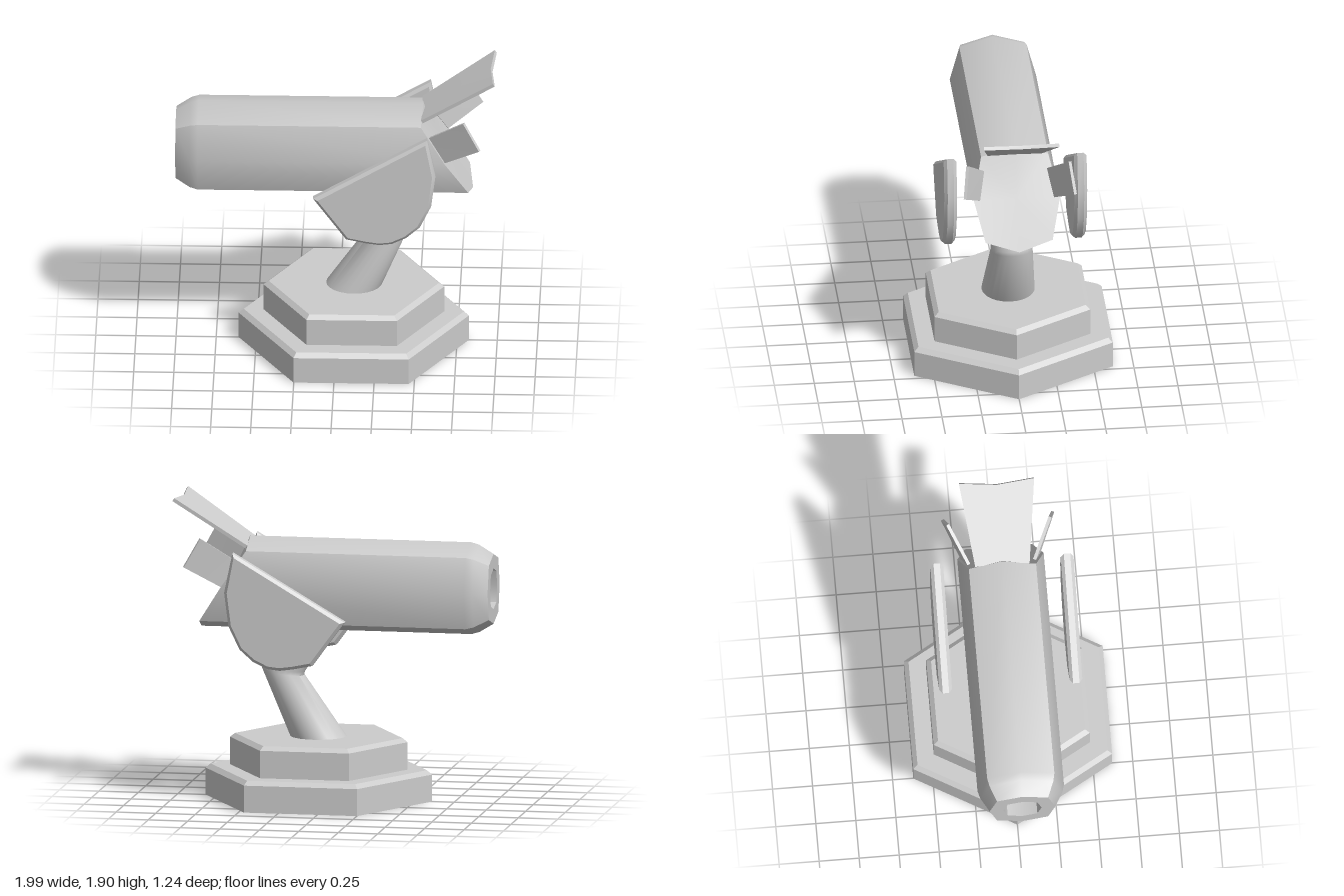
import * as THREE from 'three';
import { toCreasedNormals } from 'three/addons/utils/BufferGeometryUtils.js';

const V = (x, y, z) => new THREE.Vector3(x, y, z);
const material = new THREE.MeshStandardMaterial({ color: 0xcccccc, side: THREE.DoubleSide });

// Skins a list of closed rings; a ring collapsed to one point makes a cap.
function loft(rings, crease = 0.7) {
  const n = rings[0].length, index = [];
  for (let i = 0; i < rings.length - 1; i++) {
    for (let j = 0; j < n; j++) {
      const a = i * n + j, b = i * n + (j + 1) % n;
      index.push(a, a + n, b, b, a + n, b + n);
    }
  }
  const geometry = new THREE.BufferGeometry().setFromPoints(rings.flat());
  geometry.setIndex(index);
  return toCreasedNormals(geometry, crease);
}

const collapse = (ring) => {
  const c = ring.reduce((s, p) => s.add(p), V(0, 0, 0)).divideScalar(ring.length);
  return ring.map(() => c.clone());
};

// Thin plate: an outline in space given a thickness along its normal.
function plate(outline, thickness) {
  const normal = outline[1].clone().sub(outline[0])
    .cross(outline[2].clone().sub(outline[0])).normalize();
  const shift = (d) => outline.map((p) => p.clone().addScaledVector(normal, d));
  const top = shift(thickness / 2), bottom = shift(-thickness / 2);
  return loft([collapse(top), top, bottom, collapse(bottom)], 0.4);
}

export function createModel() {
  const group = new THREE.Group();
  const add = (name, geometry) => {
    const mesh = new THREE.Mesh(geometry, material);
    mesh.name = name;
    group.add(mesh);
    return mesh;
  };

  // Two-step hexagonal base, hollow underneath
  const profile = [[0.717, 0], [0.717, 0.17], [0.685, 0.197], [0.563, 0.197],
    [0.563, 0.37], [0.53, 0.395], [0, 0.395]].map(([r, y]) => new THREE.Vector2(r, y));
  const base = add('base', toCreasedNormals(new THREE.LatheGeometry(profile, 6, Math.PI / 2), 0.4));
  base.position.x = 0.107;

  // Bent neck: each ring is [left x, left y, right x, right y, half depth]
  const neck = [[-0.08, 0.37, 0.27, 0.37, 0.168], [-0.065, 0.395, 0.285, 0.395, 0.166],
    [0.2, 0.775, 0.465, 0.82, 0.132], [0.195, 0.8, 0.465, 0.845, 0.13],
    [0.13, 0.89, 0.45, 0.9, 0.127], [0.03, 1.08, 0.29, 1.16, 0.12]].map(([lx, ly, rx, ry, d]) =>
    Array.from({ length: 24 }, (_, j) => {
      const a = j / 24 * Math.PI * 2, t = (1 + Math.cos(a)) / 2;
      return V(lx + (rx - lx) * t, ly + (ry - ly) * t, d * Math.sin(a));
    }));
  add('neck', loft([collapse(neck[0]), ...neck]));

  // Eight-sided barrel with a slanted rear end and a hollow muzzle
  const section = [[0.29, 0], [0.225, 0.21], [0, 0.27], [-0.225, 0.21],
    [-0.29, 0], [-0.225, -0.21], [0, -0.27], [0.225, -0.21]];
  const ring = (x, s) => section.map(([y, z], j) => V(Array.isArray(x) ? x[j] : x, 1.355 + y * s, z * s));
  const rear = ring([0.54, 0.53, 0.68, 0.825, 0.85, 0.825, 0.68, 0.53], 1);
  const boreEnd = ring(-0.4, 0.44);
  add('barrel', loft([collapse(rear), rear, ring(-0.86, 1), ring(-0.91, 0.95), ring(-1, 0.76),
    ring(-1, 0.44), boreEnd, collapse(boreEnd)]));

  // Rear flap on top, with a notched tip
  add('topFlap', plate([V(0.535, 1.6, 0.17), V(0.985, 1.895, 0.235), V(0.965, 1.88, 0),
    V(0.985, 1.895, -0.235), V(0.535, 1.6, -0.17), V(0.545, 1.607, 0)], 0.022));

  // Shield outline shared by both sides
  const shield = new THREE.Shape([[-0.135, 1.185], [0.07, 0.905], [0.19, 0.88], [0.275, 0.868], [0.355, 0.877],
    [0.445, 0.92], [0.53, 0.995], [0.6, 1.14], [0.627, 1.35], [0.575, 1.6]]
    .map(([x, y]) => new THREE.Vector2(x, y)));
  const shieldGeometry = toCreasedNormals(new THREE.ExtrudeGeometry(shield, {
    depth: 0.04, bevelEnabled: true, bevelThickness: 0.02, bevelSize: 0.02, bevelOffset: -0.02, bevelSegments: 1,
  }), 0.5);

  for (const [side, s] of [['left', 1], ['right', -1]]) {
    // Side shield
    add(side + 'Shield', shieldGeometry).position.z = s * 0.407 - 0.02;
    // Splayed rear side flap
    add(side + 'Flap', plate([V(0.585, 1.51, s * 0.205), V(0.8, 1.67, s * 0.32),
      V(0.9, 1.49, s * 0.345), V(0.685, 1.355, s * 0.24)], 0.02));
  }
  return group;
}
